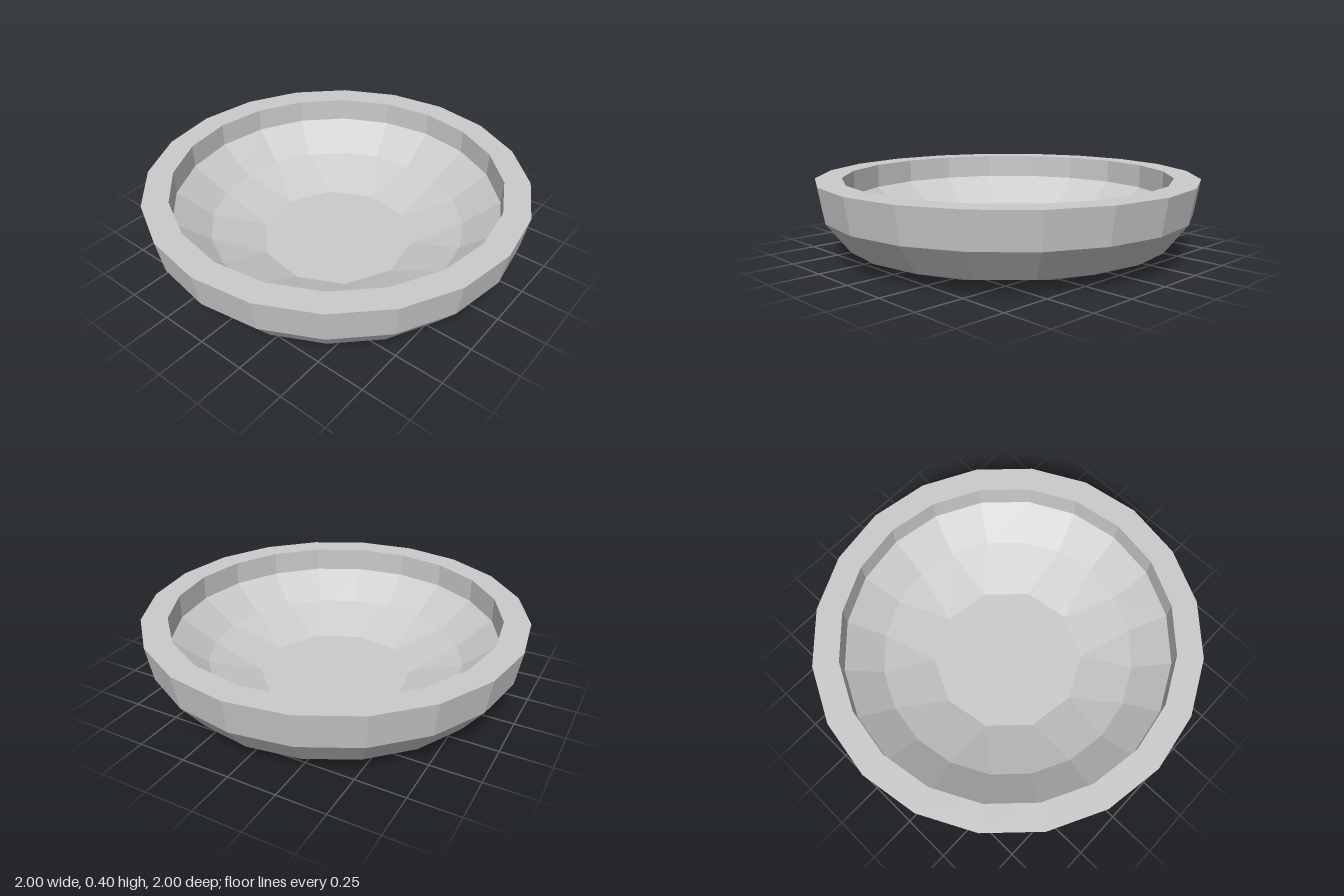
import * as THREE from 'three';

const SIDES = 20;

// Profile from the underside centre, up the outside, over the rim, down to the floor centre.
// Rings marked "merged" have every two corners joined into one, leaving ten sides.
const PROFILE = [
  { r: 0, y: 0, merged: true },
  { r: 0.645, y: 0, merged: true },
  { r: 0.855, y: 0.07 },
  { r: 0.97, y: 0.22 },
  { r: 1, y: 0.4 },
  { r: 0.865, y: 0.4 },
  { r: 0.865, y: 0.27 },
  { r: 0.68, y: 0.13 },
  { r: 0.41, y: 0.025, merged: true },
  { r: 0, y: 0.025, merged: true },
];

function corner({ r, y, merged }, i) {
  const k = i % SIDES;
  const step = merged ? 2 * Math.floor(k / 2) + 0.5 : k;
  const a = (step / SIDES) * Math.PI * 2;
  return new THREE.Vector3(r * Math.sin(a), y, -r * Math.cos(a));
}

function bowlGeometry() {
  const points = [];
  // Adds a triangle unless joined corners have collapsed it
  const addTriangle = (a, b, c) => {
    if (new THREE.Triangle(a, b, c).getArea() > 1e-6) points.push(a, b, c);
  };
  for (let j = 0; j < PROFILE.length - 1; j++) {
    for (let i = 0; i < SIDES; i++) {
      const a = corner(PROFILE[j], i + 1);
      const b = corner(PROFILE[j], i);
      const c = corner(PROFILE[j + 1], i);
      const d = corner(PROFILE[j + 1], i + 1);
      addTriangle(a, b, c);
      addTriangle(a, c, d);
    }
  }
  const geometry = new THREE.BufferGeometry().setFromPoints(points);
  geometry.computeVertexNormals();
  return geometry;
}

export function createModel() {
  const group = new THREE.Group();
  group.name = 'shallowBowl';
  const material = new THREE.MeshStandardMaterial({ color: 0xcccccc, flatShading: true });
  const bowl = new THREE.Mesh(bowlGeometry(), material);
  bowl.name = 'bowl';
  group.add(bowl);
  return group;
}
